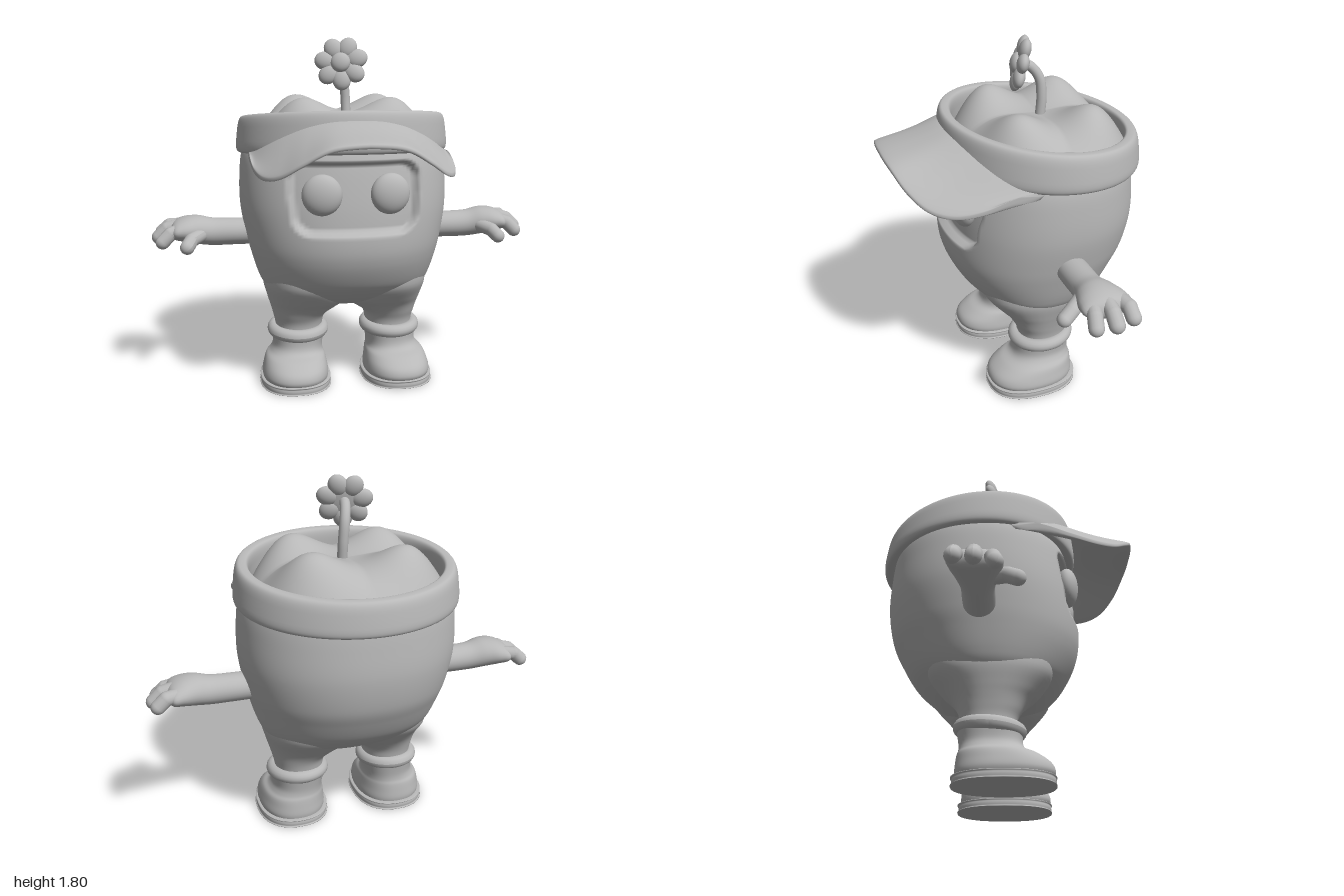
import * as THREE from 'three';

const { sin, cos, abs, sign, pow, exp, hypot, max, min, PI } = Math;

// Catmull-Rom through rows of numbers, t from 0 to 1
function spline(keys, t) {
  const n = keys.length - 1, s = min(t * n, n - 1e-6), i = Math.floor(s), f = s - i;
  const k = (j) => keys[max(0, min(n, j))];
  return keys[0].map((_, c) => {
    const a = k(i - 1)[c], b = k(i)[c], d = k(i + 1)[c], e = k(i + 2)[c];
    return b + 0.5 * f * (d - a + f * (2 * a - 5 * b + 4 * d - e + f * (3 * (b - d) + e - a)));
  });
}

// Smooth surface from a rule: rows are open, columns wrap around
function grid(rows, cols, f) {
  const pos = [], idx = [];
  for (let i = 0; i <= rows; i++)
    for (let j = 0; j < cols; j++) pos.push(...f(i / rows, (j / cols) * 2 * PI));
  for (let i = 0; i < rows; i++)
    for (let j = 0; j < cols; j++) {
      const a = i * cols + j, b = i * cols + (j + 1) % cols;
      idx.push(a, b, b + cols, a, b + cols, a + cols);
    }
  const g = new THREE.BufferGeometry();
  g.setAttribute('position', new THREE.Float32BufferAttribute(pos, 3));
  g.setIndex(idx);
  g.computeVertexNormals();
  return g;
}

const bend = (v, p) => sign(v) * pow(abs(v), p);

// Upright loft, keys: y, x min, x max, z front, z back
function loft(keys, rows, cols, p = 0.92, rule = (v) => v) {
  return grid(rows, cols, (u, a) => {
    const [y, x0, x1, zf, zb] = spline(keys, u);
    return rule([(x0 + x1) / 2 + (x1 - x0) / 2 * bend(sin(a), p), y,
      (zf + zb) / 2 + (zf - zb) / 2 * bend(cos(a), p)]);
  });
}

function mirrorX(geo) {
  const g = geo.clone().scale(-1, 1, 1), ix = g.index.array;
  for (let i = 0; i < ix.length; i += 3) [ix[i], ix[i + 1]] = [ix[i + 1], ix[i]];
  g.computeVertexNormals();
  return g;
}

function capsule(a, b, r) {
  const A = new THREE.Vector3(...a), B = new THREE.Vector3(...b), d = B.clone().sub(A);
  const g = new THREE.CapsuleGeometry(r, d.length(), 8, 16);
  g.applyQuaternion(new THREE.Quaternion().setFromUnitVectors(new THREE.Vector3(0, 1, 0), d.normalize()));
  return g.translate(...A.add(B).multiplyScalar(0.5).toArray());
}

export function createModel() {
  const model = new THREE.Group();
  const grey = new THREE.MeshStandardMaterial({ color: 0xb8b8b8 });
  grey.name = 'plain grey';
  const add = (name, geo, parent = model) => {
    const m = new THREE.Mesh(geo, grey);
    m.name = name;
    parent.add(m);
    return m;
  };
  const pair = (name, geo) => {
    add(name + 'Left', geo);
    add(name + 'Right', mirrorX(geo));
  };

  // Body with a rounded face recess pressed into the front
  const bodyKeys = [
    [0.41, 0, -0.09, -0.09], [0.415, 0.15, 0, -0.16], [0.44, 0.28, 0.08, -0.25],
    [0.48, 0.38, 0.16, -0.34], [0.54, 0.432, 0.24, -0.42], [0.6, 0.46, 0.29, -0.48],
    [0.7, 0.49, 0.34, -0.54], [0.8, 0.515, 0.36, -0.585], [0.95, 0.54, 0.355, -0.61],
    [1.1, 0.54, 0.335, -0.605], [1.22, 0.525, 0.31, -0.59], [1.3, 0.48, 0.28, -0.56],
  ].map(([y, r, f, b]) => [y, -r, r, f, b]);
  add('body', loft(bodyKeys, 140, 160, 0.92, ([x, y, z]) => {
    if (z > 0) {
      const w = 0.325 - 0.12 * max(0, 1.05 - y), r = 0.09;
      const dx = abs(x) - w + r, dy = abs(y - 1.03) - 0.18 + r;
      const d = hypot(max(dx, 0), max(dy, 0)) + min(max(dx, dy), 0) - r;
      z -= 0.05 * THREE.MathUtils.smoothstep(-d, 0, 0.025);
    }
    return [x, y, z];
  }));

  // Four-lobed crown
  add('crown', grid(40, 96, (t, a) => {
    const r = 1 - t, u = r * sin(a), v = r * cos(a);
    const lobe = exp(-((abs(u) - 0.5) ** 2 + (abs(v) - 0.45) ** 2) / 0.12);
    return [u * 0.5, 1.22 + 0.19 * (1 - r ** 4) + 0.12 * lobe, -0.15 + v * 0.455];
  }));

  // Legs
  pair('leg', loft([
    [0.2, 0.13, 0.365, 0.04, -0.21], [0.3, 0.12, 0.37, 0.04, -0.22], [0.36, 0.1, 0.383, 0.065, -0.235],
    [0.41, 0.03, 0.397, 0.1, -0.265], [0.46, -0.03, 0.412, 0.15, -0.31], [0.54, -0.03, 0.432, 0.21, -0.38],
    [0.62, 0, 0.43, 0.22, -0.4],
  ], 30, 48));

  // Boots: sole, upper and rolled cuff
  pair('sole', loft([
    [0, 0.27, 0.27, 0, 0], [0, 0.1, 0.445, 0.2, -0.235], [0.008, 0.09, 0.455, 0.215, -0.25],
    [0.03, 0.09, 0.455, 0.215, -0.25], [0.042, 0.105, 0.44, 0.2, -0.235], [0.042, 0.27, 0.27, 0, 0],
  ], 25, 48, 0.85));
  pair('boot', loft([
    [0.03, 0.105, 0.44, 0.2, -0.235], [0.06, 0.1, 0.448, 0.215, -0.24], [0.1, 0.105, 0.44, 0.2, -0.237],
    [0.14, 0.113, 0.425, 0.145, -0.232], [0.165, 0.122, 0.4, 0.09, -0.225], [0.2, 0.122, 0.385, 0.07, -0.225],
    [0.26, 0.11, 0.39, 0.07, -0.235],
  ], 30, 48, 0.88));
  pair('bootCuff', new THREE.TorusGeometry(0.132, 0.034, 16, 48)
    .rotateX(PI / 2).scale(0.98, 1, 1.03).rotateX(0.07).translate(0.25, 0.27, -0.083));

  // Arms, keys: x, y, half height, half depth, z
  const armKeys = [
    [0.44, 0.8, 0.07, 0.075, -0.13], [0.56, 0.8, 0.07, 0.077, -0.13], [0.68, 0.802, 0.072, 0.078, -0.13],
    [0.76, 0.815, 0.075, 0.1, -0.13], [0.83, 0.82, 0.065, 0.12, -0.135], [0.885, 0.815, 0.045, 0.11, -0.14],
    [0.91, 0.81, 0, 0, -0.14],
  ];
  pair('arm', grid(36, 32, (u, a) => {
    const [x, y, h, d, z] = spline(armKeys, u);
    return [x, y + h * cos(a), z + d * sin(a)];
  }));
  const fingers = [
    [[0.83, 0.83, -0.2], [0.91, 0.825, -0.222], [0.95, 0.79, -0.225], 0.036],
    [[0.84, 0.84, -0.14], [0.92, 0.82, -0.138], [0.963, 0.78, -0.138], 0.037],
    [[0.83, 0.83, -0.08], [0.9, 0.81, -0.06], [0.94, 0.77, -0.05], 0.036],
    [[0.75, 0.8, -0.06], [0.795, 0.785, 0], [0.815, 0.76, 0.045], 0.036],
  ];
  fingers.forEach(([a, b, c, r], i) => {
    const name = i < 3 ? 'finger' + (i + 1) : 'thumb';
    pair(name + 'Base', capsule(a, b, r));
    pair(name + 'Tip', capsule(b, c, r));
  });

  // Eyes
  pair('eye', new THREE.SphereGeometry(0.098, 32, 24).scale(1, 1.03, 0.55)
    .rotateY(0.12).translate(0.167, 1.052, 0.302));

  // Visor band, tilted up toward the front
  add('visorBand', grid(40, 96, (u, a) => {
    const p = u * 2 * PI - PI / 2, s = bend(sin(p), 0.55), k = 0.5 - 0.5 * bend(cos(p), 0.55);
    const r = 0.52 - 0.017 * k + (0.04 - 0.005 * k) * s;
    const z = -0.15 + (r - 0.05) * cos(a);
    const low = 1.23 + 0.066 * (z - 0.1), high = 1.345 + 0.115 * (z + 0.64);
    return [r * sin(a), low + (high - low) * k, z];
  }));

  // Arched brim, swept from side to side; the end sections close to a point
  const brimEdge = [[1.32], [1.3], [1.235], [1.175], [1.155], [1.175], [1.225]];
  const brimRoot = [[1.4], [1.395], [1.375], [1.34], [1.3], [1.26], [1.235]];
  add('visorBrim', grid(80, 48, (u, p) => {
    const a = (u - 0.5) * PI, k = abs(u - 0.5) * 2, end = u === 0 || u === 1;
    const t = end ? 0.5 : 0.5 - 0.5 * cos(p), h = end ? 0 : 0.02 * bend(sin(p), 0.5);
    const mix = (m, n) => m + (n - m) * t;
    return [
      mix(0.515 * sin(a * 0.85), 0.5 * bend(sin(a), 0.78)),
      mix(spline(brimRoot, k)[0], spline(brimEdge, k)[0]) - 0.012 * sin(t * PI) + h,
      mix(-0.15 + 0.475 * cos(a * 0.85), 0.1 + 0.553 * pow(abs(cos(a)), 0.75)),
    ];
  }));

  // Flower on a bent stem
  const stem = new THREE.CatmullRomCurve3([
    [0.025, 1.4, -0.155], [0.022, 1.5, -0.163], [0.012, 1.59, -0.155], [-0.002, 1.645, -0.12], [-0.012, 1.67, -0.075],
  ].map((p) => new THREE.Vector3(...p)));
  add('stem', new THREE.TubeGeometry(stem, 32, 0.025, 16));
  const flower = new THREE.Group();
  flower.name = 'flower';
  flower.position.set(-0.015, 1.667, -0.065);
  flower.rotation.set(-0.25, -0.28, 0);
  model.add(flower);
  for (let i = 0; i < 7; i++) {
    const a = PI / 2 + ((i + 0.5) / 7) * 2 * PI;
    add('petal' + (i + 1), new THREE.SphereGeometry(0.05, 24, 16).scale(1.1, 0.95, 0.6)
      .translate(0.084, 0, 0).rotateZ(a), flower);
  }
  add('flowerBase', new THREE.SphereGeometry(0.09, 24, 16).scale(1, 1, 0.25), flower);
  add('flowerCentre', new THREE.SphereGeometry(0.05, 24, 16).scale(1, 1, 0.6).translate(0, 0, 0.022), flower);
  return model;
}
